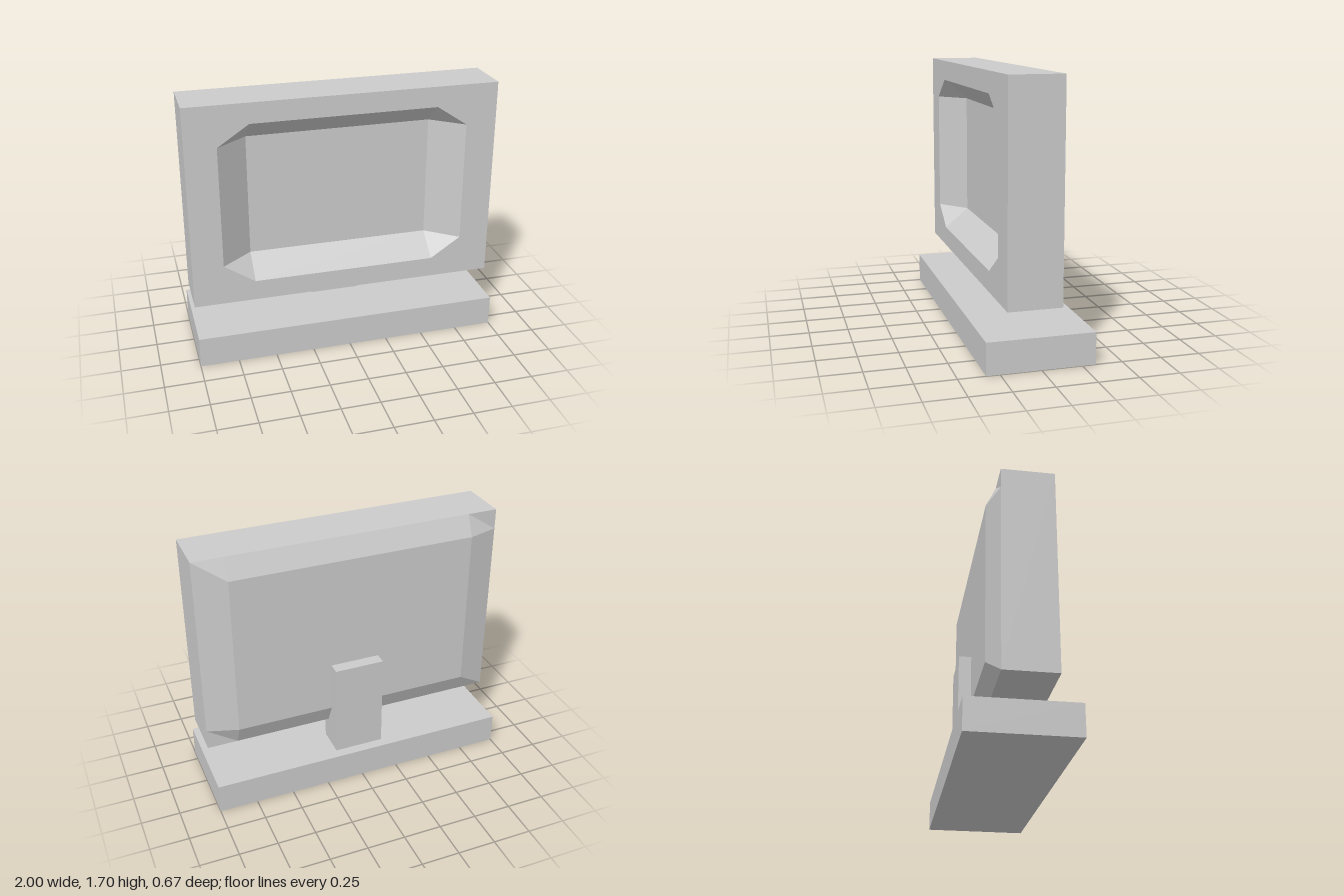
import * as THREE from 'three';

const material = new THREE.MeshStandardMaterial({ color: 0xcccccc, flatShading: true });

// Flat-faced geometry from convex polygons (counter-clockwise seen from outside)
function facets(polygons) {
  const points = [];
  for (const p of polygons) {
    for (let i = 1; i < p.length - 1; i++) points.push(...p[0], ...p[i], ...p[i + 1]);
  }
  const geometry = new THREE.BufferGeometry();
  geometry.setAttribute('position', new THREE.Float32BufferAttribute(points, 3));
  geometry.computeVertexNormals();
  return geometry;
}

// Corners of a rectangle, counter-clockwise seen from the front
const rect = (x, y0, y1, z) => [[-x, y0, z], [x, y0, z], [x, y1, z], [-x, y1, z]];

export function createModel() {
  const model = new THREE.Group();
  const screen = new THREE.Group();
  screen.name = 'screen';
  model.add(screen);

  const add = (parent, name, geometry) => {
    const mesh = new THREE.Mesh(geometry, material);
    mesh.name = name;
    parent.add(mesh);
  };
  const addBox = (name, w, y0, y1, z0, z1) => {
    const box = new THREE.BoxGeometry(w, y1 - y0, z1 - z0);
    add(model, name, box.translate(0, (y0 + y1) / 2, (z0 + z1) / 2));
  };

  addBox('base', 2, 0, 0.2, -0.333, 0.333);
  addBox('neck', 0.327, 0.2, 0.833, -0.267, -0.067);

  const bottom = 0.367, top = 1.7, front = 0.208, rear = -0.125, rearPanel = -0.187;

  // Casing sides: a band around the screen
  const f = rect(1, bottom, top, front), r = rect(1, bottom, top, rear);
  add(screen, 'casingSides', facets(f.map((p, i) => {
    const j = (i + 1) % 4;
    return [p, r[i], r[j], f[j]];
  })));

  // Bezel with an eight-sided opening
  const opening = [
    [-0.6, 0.5], [0.6, 0.5], [0.8, 0.633], [0.8, 1.433],
    [0.6, 1.567], [-0.6, 1.567], [-0.8, 1.433], [-0.8, 0.633],
  ];
  const toVectors = (pts) => pts.map(([x, y]) => new THREE.Vector2(x, y));
  const bezel = new THREE.Shape(toVectors(f));
  bezel.holes.push(new THREE.Path(toVectors(opening)));
  add(screen, 'bezel', new THREE.ShapeGeometry(bezel).translate(0, 0, front));

  // Recess: sloped walls and corner triangles leading to the sunken display
  const display = rect(0.6, 0.633, 1.433, 0.048);
  const rim = opening.map(([x, y]) => [x, y, front]);
  const walls = [];
  for (let i = 0; i < 4; i++) {
    const j = (i + 1) % 4, a = rim[2 * i], b = rim[2 * i + 1], c = rim[(2 * i + 2) % 8];
    walls.push([a, b, display[j], display[i]], [b, c, display[j]]);
  }
  add(screen, 'recessWalls', facets(walls));
  add(screen, 'display', facets([display]));

  // Rear cover: a 3 x 3 grid whose inner points are pushed back
  const xs = [-1, -0.8, 0.8, 1], ys = [bottom, 0.5, 1.567, top];
  const inner = (i) => i === 1 || i === 2;
  const point = (i, j) => [xs[i], ys[j], inner(i) && inner(j) ? rearPanel : rear];
  const cover = [];
  for (let i = 0; i < 3; i++) {
    for (let j = 0; j < 3; j++) {
      const a = point(i, j), b = point(i + 1, j), c = point(i + 1, j + 1), d = point(i, j + 1);
      cover.push([a, c, b], [a, d, c]);
    }
  }
  add(screen, 'rearCover', facets(cover));

  return model;
}
